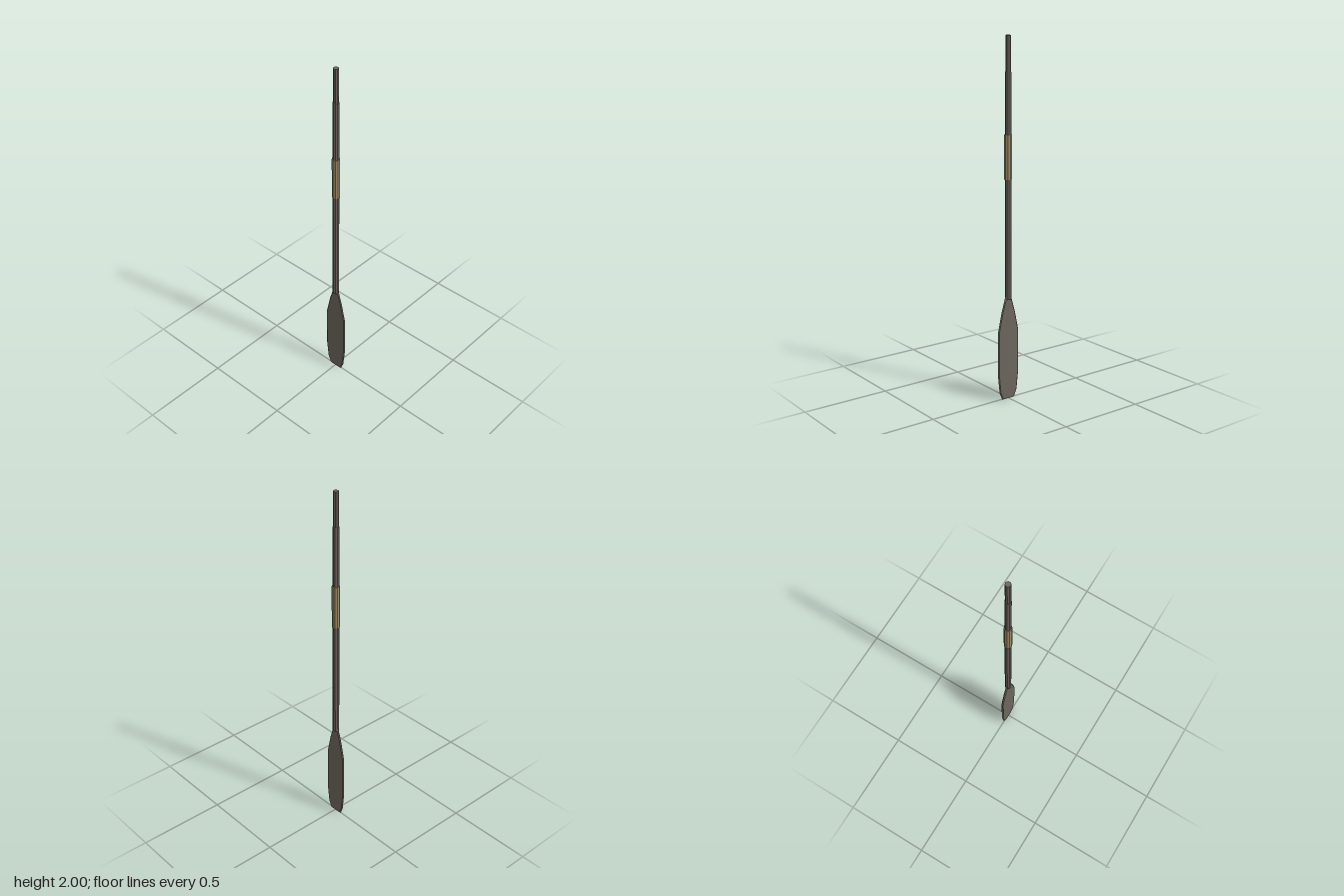
import * as THREE from 'three';

const SIDES = 10;
const mat = (color) => new THREE.MeshStandardMaterial({ color, flatShading: true });

// upright ten-sided rod between two heights
function rod(name, y0, y1, r0, r1, material) {
  const geo = new THREE.CylinderGeometry(r1, r0, y1 - y0, SIDES);
  geo.translate(0, (y0 + y1) / 2, 0);
  const mesh = new THREE.Mesh(geo, material);
  mesh.name = name;
  return mesh;
}

// blade lofted from thin eight-sided sections with a shallow ridge and bevelled edges
function bladeGeometry() {
  // height, half width, half thickness at the ridge
  const rows = [
    [0, 0.042, 0.006], [0.04, 0.059, 0.007], [0.14, 0.07, 0.008], [0.39, 0.07, 0.008],
    [0.5, 0.046, 0.008], [0.56, 0.028, 0.008], [0.595, 0.019, 0.008],
  ];
  const pos = [], idx = [], n = 8;
  for (const [y, w, t] of rows) {
    const e = w - 0.006, s = t * 0.7;
    for (const [x, z] of [[w, 0], [e, s], [0, t], [-e, s], [-w, 0], [-e, -s], [0, -t], [e, -s]]) pos.push(x, y, z);
  }
  for (let r = 0; r < rows.length - 1; r++) {
    for (let i = 0; i < n; i++) {
      const a = r * n + i, b = r * n + (i + 1) % n;
      idx.push(a, a + n, b, b, a + n, b + n);
    }
  }
  // end caps
  const top = (rows.length - 1) * n;
  for (let i = 1; i < n - 1; i++) {
    idx.push(0, i, i + 1);
    idx.push(top, top + i + 1, top + i);
  }
  const geo = new THREE.BufferGeometry();
  geo.setAttribute('position', new THREE.Float32BufferAttribute(pos, 3));
  geo.setIndex(idx);
  const flat = geo.toNonIndexed();
  flat.computeVertexNormals();
  return flat;
}

export function createModel() {
  const oar = new THREE.Group();
  oar.name = 'oar';
  const wood = mat(0x6b655c);
  const sleeveMat = mat(0x9c8c69);

  const blade = new THREE.Mesh(bladeGeometry(), wood);
  blade.name = 'blade';
  oar.add(blade);

  oar.add(rod('shaft', 0.575, 1.81, 0.0185, 0.0175, wood));
  oar.add(rod('sleeve', 1.24, 1.48, 0.022, 0.022, sleeveMat));
  oar.add(rod('handle', 1.8, 2, 0.015, 0.015, wood));
  return oar;
}
